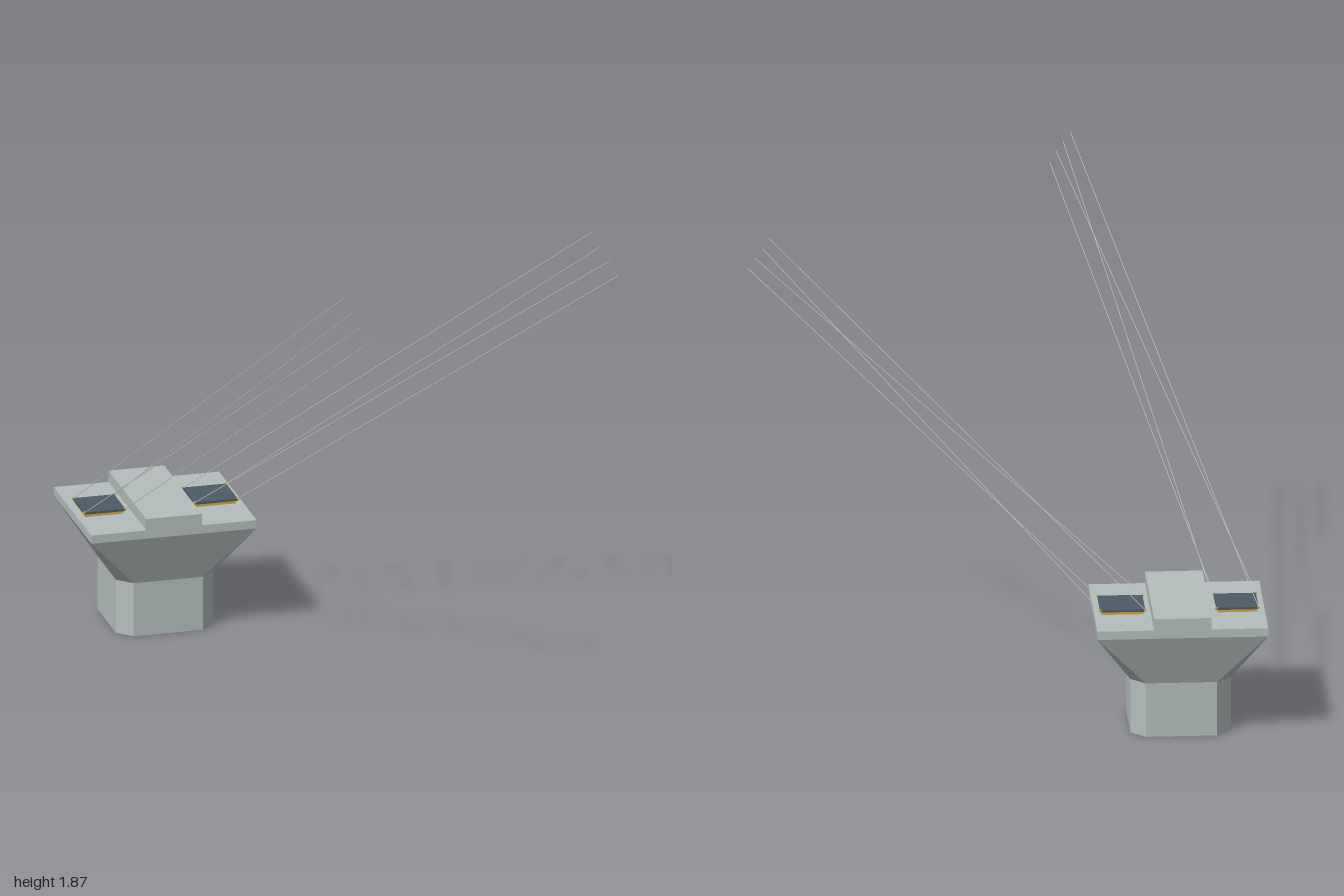
import * as THREE from 'three';
import { ConvexGeometry } from 'three/addons/geometries/ConvexGeometry.js';

const material = (name, color) => {
  const m = new THREE.MeshStandardMaterial({ color });
  m.name = name;
  return m;
};

export function createModel() {
  const concrete = material('concrete', 0xb4bdbd);
  const steel = material('dark steel', 0x4b5b66);
  const ochre = material('ochre', 0xd6a63c);
  const cable = material('cable grey', 0xc4c8ca);

  const model = new THREE.Group();
  model.name = 'cableAnchorPier';

  const add = (parent, name, geometry, mat) => {
    const mesh = new THREE.Mesh(geometry, mat);
    mesh.name = name;
    parent.add(mesh);
    return mesh;
  };
  // box given by its two extreme corners
  const box = (parent, name, [x0, y0, z0], [x1, y1, z1], mat) =>
    add(parent, name, new THREE.BoxGeometry(x1 - x0, y1 - y0, z1 - z0)
      .translate((x0 + x1) / 2, (y0 + y1) / 2, (z0 + z1) / 2), mat);

  // rectangle ring with cut corners, centred on the pier
  const cx = -0.646, cz = -0.719;
  const ring = (y, hx, hz, cut) => {
    const points = [];
    for (const sx of [-1, 1]) for (const sz of [-1, 1]) {
      points.push(new THREE.Vector3(cx + sx * hx, y, cz + sz * (hz - cut)));
      if (cut) points.push(new THREE.Vector3(cx + sx * (hx - cut), y, cz + sz * hz));
    }
    return points;
  };

  // pier: chamfered shaft, flared head, cap slab and central rib
  const pier = new THREE.Group();
  pier.name = 'pier';
  model.add(pier);
  const shaft = y => ring(y, 0.196, 0.195, 0.057);
  add(pier, 'shaft', new ConvexGeometry([...shaft(0), ...shaft(0.22)]), concrete);
  add(pier, 'flaredHead', new ConvexGeometry([...shaft(0.22), ...ring(0.433, 0.333, 0.281, 0)]), concrete);
  box(pier, 'capSlab', [-0.979, 0.433, -1], [-0.313, 0.467, -0.438], concrete);
  box(pier, 'centralRib', [-0.758, 0.467, -1], [-0.534, 0.514, -0.438], concrete);

  // cable ends run in order: back left, back right, front left, front right as seen from the front
  const bearings = [
    { name: 'rightBearing', x: [-0.953, -0.788], z: [-0.807, -0.638],
      from: [-0.325, 1.866, 0.90], to: [-0.251, 1.709, 1.0] },
    { name: 'leftBearing', x: [-0.511, -0.336], z: [-0.81, -0.635],
      from: [0.898, 1.734, 0.088], to: [0.975, 1.579, 0.184] },
  ];
  const up = new THREE.Vector3(0, 1, 0);
  for (const b of bearings) {
    const group = new THREE.Group();
    group.name = b.name;
    model.add(group);
    box(group, 'bearingPad', [b.x[0] + 0.006, 0.467, b.z[0] + 0.006],
      [b.x[1] - 0.006, 0.479, b.z[1] - 0.006], ochre);
    box(group, 'bearingPlate', [b.x[0], 0.479, b.z[0]], [b.x[1], 0.488, b.z[1]], steel);

    const first = new THREE.Vector3(...b.from), last = new THREE.Vector3(...b.to);
    for (let i = 0; i < 4; i++) {
      const start = new THREE.Vector3(b.x[i % 2], 0.487, b.z[i >> 1]);
      const end = first.clone().lerp(last, i / 3);
      const direction = end.clone().sub(start);
      // thin straight cable from a plate corner
      const rod = add(group, 'cable', new THREE.CylinderGeometry(0.0015, 0.0015, direction.length(), 6), cable);
      rod.position.copy(start).add(end).multiplyScalar(0.5);
      rod.quaternion.setFromUnitVectors(up, direction.normalize());
      // small corner fixing
      const fixing = add(group, 'cornerFixing', new THREE.BoxGeometry(0.008, 0.008, 0.008), ochre);
      fixing.position.copy(start);
    }
  }
  return model;
}
